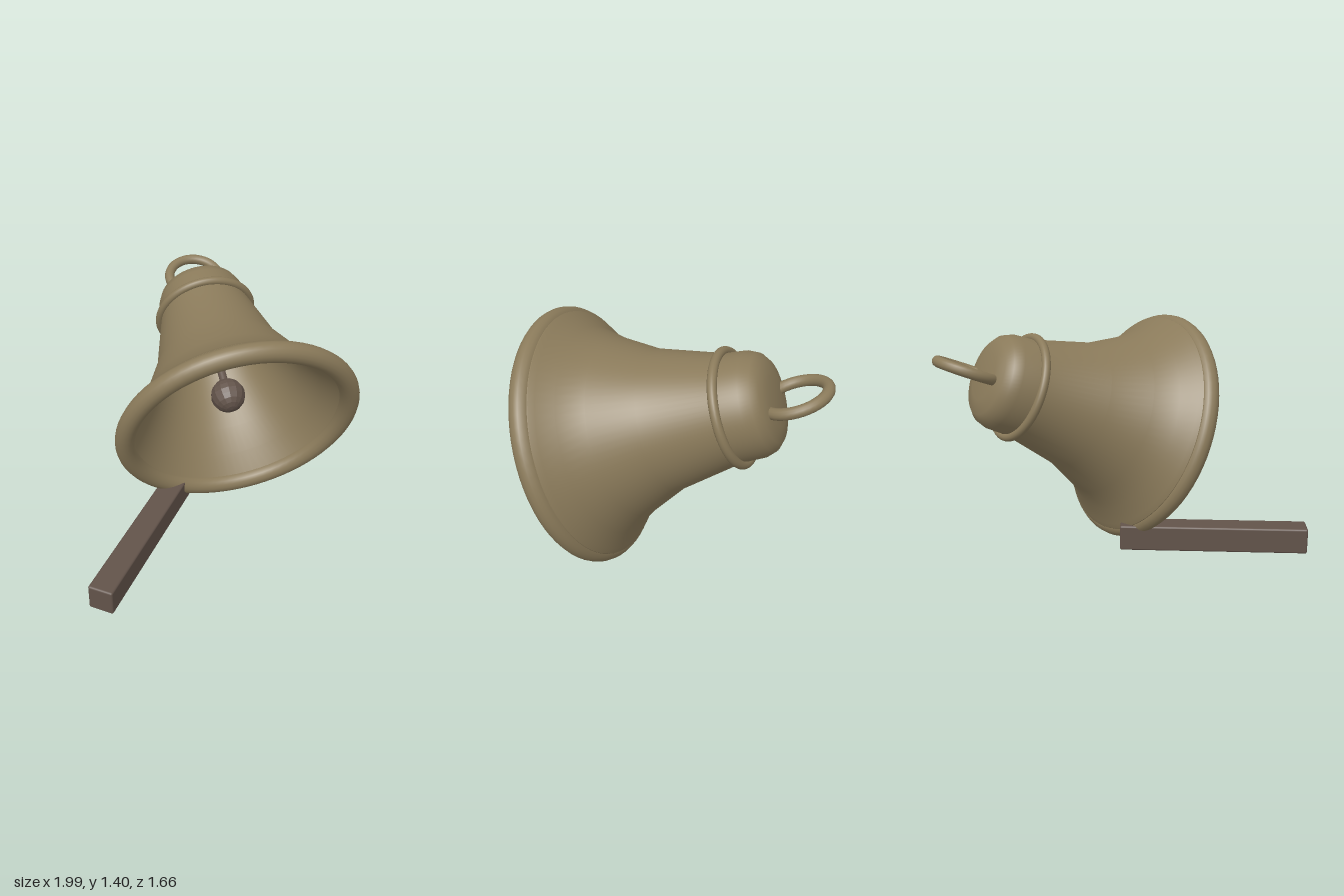
import * as THREE from 'three';
import { toCreasedNormals } from 'three/addons/utils/BufferGeometryUtils.js';
import { RoundedBoxGeometry } from 'three/addons/geometries/RoundedBoxGeometry.js';

const V = (x, y, z) => new THREE.Vector3(x, y, z);

export function createModel() {
  const model = new THREE.Group();
  model.name = 'bellOnBeam';
  const bronze = new THREE.MeshStandardMaterial({ color: 0x8a7a5a });
  bronze.name = 'bronze';
  const brown = new THREE.MeshStandardMaterial({ color: 0x62534a });
  brown.name = 'darkBrown';

  const add = (parent, name, geometry, material) => {
    const mesh = new THREE.Mesh(geometry, material);
    mesh.name = name;
    parent.add(mesh);
    return mesh;
  };

  // Bell frame: the local y axis runs from the mouth to the crown
  const axis = V(0.487, 0.375, -0.789).normalize();
  const mouth = V(0.185, 0.7, 0.34);
  const bell = new THREE.Group();
  bell.name = 'bell';
  bell.position.copy(mouth);
  bell.quaternion.setFromUnitVectors(V(0, 1, 0), axis);
  model.add(bell);

  // Hollow body: down the inner wall, round the lip, up the outer wall
  const profile = [
    [0, 0.98], [0.18, 0.95], [0.25, 0.88], [0.35, 0.51], [0.46, 0.28], [0.55, 0.13], [0.645, 0],
    [0.72, 0], [0.71, 0.06], [0.685, 0.085], [0.6, 0.15], [0.515, 0.28], [0.4, 0.51], [0.297, 0.9],
    [0.287, 1.03], [0.265, 1.085], [0.225, 1.12], [0.14, 1.14], [0, 1.14],
  ].map(([r, t]) => new THREE.Vector2(r, t));
  add(bell, 'bellBody', toCreasedNormals(new THREE.LatheGeometry(profile, 72), 0.6), bronze);

  // Raised rings around the lip and shoulder
  const hoop = (name, radius, tube, height) => {
    const mesh = add(bell, name, new THREE.TorusGeometry(radius, tube, 16, 72), bronze);
    mesh.rotation.x = Math.PI / 2;
    mesh.position.y = height;
  };
  hoop('lipRing', 0.69, 0.06, 0);
  hoop('shoulderBand', 0.308, 0.026, 0.905);

  // Hanging ring standing on the crown
  const loop = add(model, 'hangingRing', new THREE.TorusGeometry(0.174, 0.032, 14, 40), bronze);
  loop.position.set(0.79, 1.168, -0.638);
  loop.quaternion.setFromUnitVectors(V(0, 0, 1), V(-0.2, 0.93, 0.32).normalize());

  // Clapper: rod from inside the crown and a faceted ball
  const pivot = mouth.clone().addScaledVector(axis, 0.97);
  const ballAt = V(0.33, 0.75, 0.12);
  const reach = pivot.clone().sub(ballAt);
  const rod = add(model, 'clapperRod', new THREE.CylinderGeometry(0.026, 0.026, reach.length(), 14), brown);
  rod.position.copy(pivot).add(ballAt).multiplyScalar(0.5);
  rod.quaternion.setFromUnitVectors(V(0, 1, 0), reach.normalize());
  const facets = new THREE.SphereGeometry(0.108, 14, 10).toNonIndexed();
  facets.computeVertexNormals();
  const ball = add(model, 'clapperBall', facets, brown);
  ball.position.copy(ballAt);
  ball.quaternion.copy(rod.quaternion);

  // Beam lying on the ground under the lip
  const beam = add(model, 'beam', new RoundedBoxGeometry(1.165, 0.16, 0.152, 2, 0.012), brown);
  beam.position.set(-0.432, 0.084, 0.155);
  beam.rotation.y = 0.405;

  return model;
}
